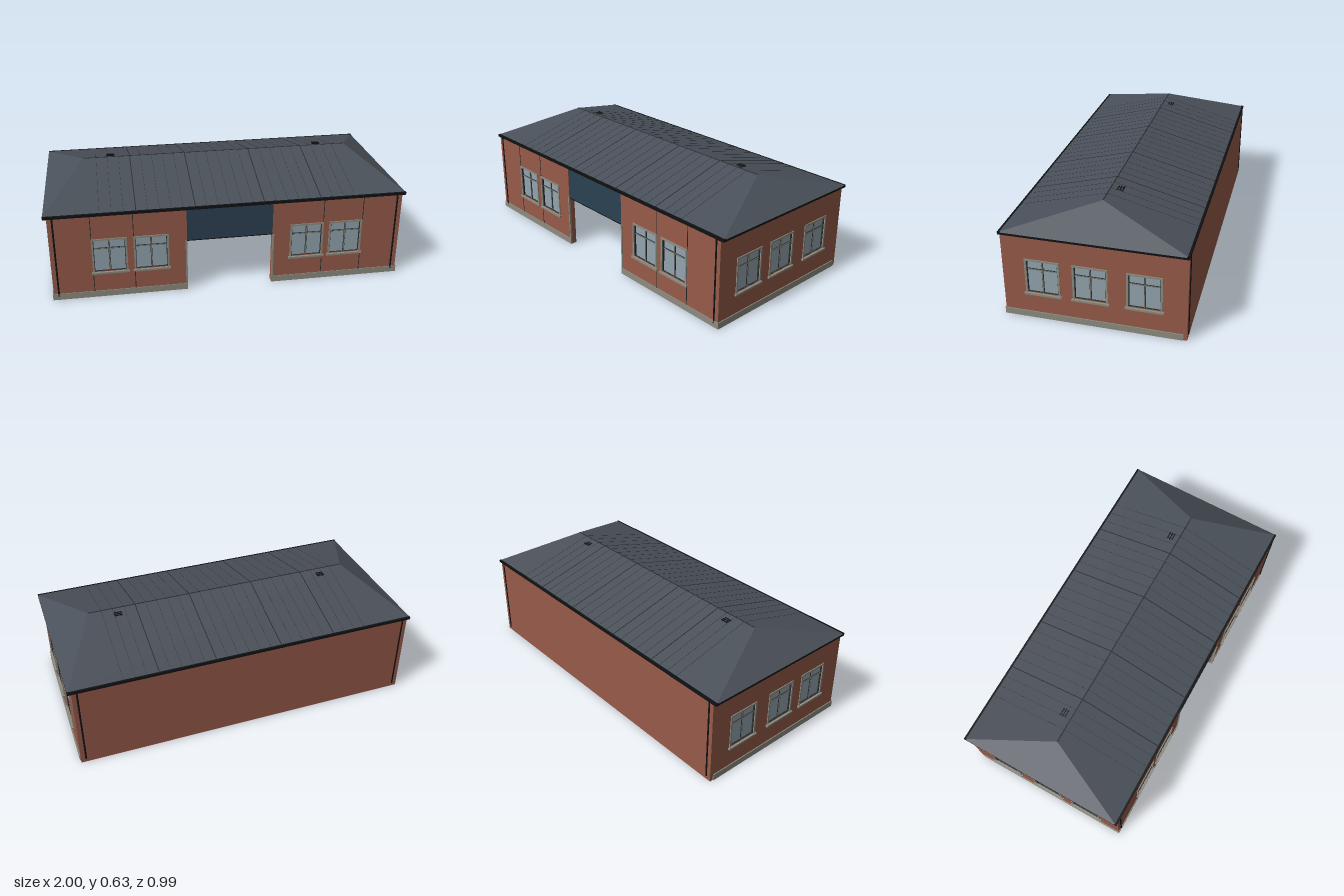
import * as THREE from 'three';

const mat = (name, color, side = THREE.FrontSide) => {
  const m = new THREE.MeshStandardMaterial({ color, side });
  m.name = name;
  return m;
};

export function createModel() {
  const M = {
    brick: mat('brick', 0x965a4a),
    stone: mat('stone', 0x8e8c80),
    roof: mat('slate roof', 0x4a5059),
    black: mat('black metal', 0x101113),
    seam: mat('dark seam', 0x2a2d31),
    blue: mat('blue panel', 0x2b4152),
    glass: mat('glass', 0x93a5ae),
    bar: mat('window bars', 0x77766f),
  };
  const model = new THREE.Group();
  model.name = 'building';

  const box = (parent, name, m, w, h, d, x, y, z) => {
    const mesh = new THREE.Mesh(new THREE.BoxGeometry(w, h, d), m);
    mesh.name = name;
    mesh.position.set(x, y, z);
    parent.add(mesh);
    return mesh;
  };

  const WX = 0.98, WZ = 0.484, WALL_H = 0.492, T = 0.035;
  const WIN = { bottom: 0.155, top: 0.356 };

  // Wall from an outline with window holes; its outer face lies on local z = 0
  const wall = (parent, name, outline, centres, w) => {
    const shape = new THREE.Shape(outline.map(([x, y]) => new THREE.Vector2(x, y)));
    for (const c of centres) {
      const hw = w / 2 - 0.006;
      const [b, t] = [WIN.bottom + 0.004, WIN.top - 0.006];
      shape.holes.push(new THREE.Path([
        new THREE.Vector2(c - hw, b), new THREE.Vector2(c - hw, t),
        new THREE.Vector2(c + hw, t), new THREE.Vector2(c + hw, b),
      ]));
    }
    const geo = new THREE.ExtrudeGeometry(shape, { depth: T, bevelEnabled: false });
    geo.translate(0, 0, -T);
    const mesh = new THREE.Mesh(geo, M.brick);
    mesh.name = name;
    parent.add(mesh);
  };

  // Window with casing, dark sash line, glass, bars and sill
  const addWindow = (parent, cx, w) => {
    const g = new THREE.Group();
    g.name = 'window';
    g.position.x = cx;
    parent.add(g);
    const { bottom, top } = WIN, h = top - bottom, cy = (top + bottom) / 2, c = 0.01;
    box(g, 'casingTop', M.stone, w, c, 0.018, 0, top - c / 2, -0.004);
    for (const s of [-1, 1]) {
      box(g, 'casingSide', M.stone, c, h - c, 0.018, s * (w - c) / 2, cy - c / 2, -0.004);
      box(g, 'sashSide', M.seam, 0.003, h - c, 0.012, s * (w / 2 - c - 0.0015), cy - c / 2, -0.007);
    }
    box(g, 'sashTop', M.seam, w - 2 * c, 0.003, 0.012, 0, top - c - 0.0015, -0.007);
    box(g, 'sashBottom', M.seam, w - 2 * c, 0.003, 0.012, 0, bottom + 0.003, -0.007);
    box(g, 'glass', M.glass, w - 2 * c, h - c, 0.004, 0, cy - c / 2, -0.012);
    const barY = 0.294;
    box(g, 'mullionEdge', M.seam, 0.009, h - c, 0.01, 0, cy - c / 2, -0.011);
    box(g, 'transomEdge', M.seam, w - 2 * c, 0.008, 0.01, 0, barY, -0.011);
    box(g, 'mullion', M.bar, 0.005, h - c, 0.012, 0, cy - c / 2, -0.009);
    box(g, 'transom', M.bar, w - 2 * c, 0.004, 0.012, 0, barY, -0.009);
    box(g, 'sill', M.stone, w + 0.014, 0.011, 0.024, 0, bottom - 0.0055, 0);
  };

  // Front wall with the wide gateway cut out of it
  const front = new THREE.Group();
  front.name = 'front';
  front.position.z = WZ;
  model.add(front);
  const D = 0.24;
  const frontX = [-0.663, -0.436, 0.436, 0.66];
  for (const s of [-1, 1]) {
    const outline = [[s * D, 0.001], [s * WX, 0.001], [s * WX, WALL_H], [s * D, WALL_H]];
    wall(front, 'frontWall', outline, frontX.filter((x) => x * s > 0), 0.192);
    box(front, 'frontPlinth', M.stone, 0.985 - D, 0.036, 0.006, s * (0.985 + D) / 2, 0.018, 0.001);
    box(front, 'frontPlinthBase', M.stone, 0.98 - D, 0.004, T, s * (0.98 + D) / 2, 0.002, -T / 2);
    box(front, 'gatewayTrim', M.stone, 0.009, 0.305, 0.012, s * (D + 0.004), 0.1525, -0.002);
    for (const x of [0.53, 0.757]) {
      box(front, 'jointAbove', M.seam, 0.004, WALL_H - WIN.top, 0.002, s * x, (WALL_H + WIN.top) / 2, 0.0005);
      box(front, 'jointBelow', M.seam, 0.004, 0.108, 0.002, s * x, 0.09, 0.0005);
    }
  }
  frontX.forEach((x) => addWindow(front, x, 0.192));
  box(front, 'gatewayPanel', M.blue, 2 * D, WALL_H - 0.305, 0.02, 0, (WALL_H + 0.305) / 2, -0.014);
  box(front, 'gatewayPanelEdge', M.black, 2 * D, 0.005, 0.022, 0, 0.304, -0.014);

  // Side walls, mirrored
  for (const s of [-1, 1]) {
    const side = new THREE.Group();
    side.name = s > 0 ? 'leftSide' : 'rightSide';
    side.position.x = s * WX;
    side.rotation.y = s * Math.PI / 2;
    model.add(side);
    const a = -s * (WZ - T), b = s * 0.465;
    const centres = [0.27, 0.017, -0.264].map((z) => -s * z);
    wall(side, 'sideWall', [[a, 0.001], [b, 0.001], [b, WALL_H], [a, WALL_H]], centres, 0.186);
    centres.forEach((u) => addWindow(side, u, 0.186));
    box(side, 'sidePlinth', M.stone, 0.952, 0.036, 0.006, -s * 0.011, 0.018, 0.002);
    box(side, 'sidePlinthBase', M.stone, 0.914, 0.004, T, s * 0.008, 0.002, -T / 2);
  }

  // Plain back wall
  box(model, 'backWall', M.brick, 2 * WX, WALL_H, 0.02, 0, WALL_H / 2, -WZ + 0.01);

  // Downpipes at the four corners
  for (const sx of [-1, 1]) for (const sz of [-1, 1]) {
    const pipe = new THREE.Mesh(new THREE.CylinderGeometry(0.005, 0.005, 0.47, 10), M.black);
    pipe.name = 'downpipe';
    pipe.position.set(sx * 0.952, 0.257, sz * WZ);
    model.add(pipe);
  }

  // Eaves slab and gutters
  const EX = 1, EZ = 0.487, EY = 0.503, RX = 0.78, RY = 0.633;
  box(model, 'eaves', M.black, 2 * EX, 0.011, 2 * EZ, 0, EY - 0.0065, 0);
  for (const s of [-1, 1]) box(model, 'gutter', M.black, 2 * EX, 0.014, 0.015, 0, EY - 0.004, s * (EZ - 0.0075));

  // Hipped roof
  const A = [-EX, EY, EZ], B = [EX, EY, EZ], C = [EX, EY, -EZ], E = [-EX, EY, -EZ];
  const R0 = [-RX, RY, 0], R1 = [RX, RY, 0];
  const roofGeo = new THREE.BufferGeometry();
  roofGeo.setAttribute('position', new THREE.Float32BufferAttribute(
    [A, B, R1, A, R1, R0, C, E, R0, C, R0, R1, B, C, R1, E, A, R0].flat(), 3));
  roofGeo.computeVertexNormals();
  const roof = new THREE.Mesh(roofGeo, M.roof);
  roof.name = 'roof';
  model.add(roof);

  // Roof seams on both slopes, four of them stronger
  const angle = Math.atan2(RY - EY, EZ), len = Math.hypot(RY - EY, EZ);
  const seam = (x, w, m) => {
    for (const s of [-1, 1]) {
      const rib = box(model, 'roofSeam', m, w, 0.002, len, x, (EY + RY) / 2, s * EZ / 2);
      rib.rotation.x = s * angle;
    }
  };
  for (const x of [-0.51, -0.19, 0.19, 0.51]) seam(x, 0.005, M.seam);
  for (let i = -11; i <= 11; i++) seam(i * 0.064, 0.0012, M.seam);
  box(model, 'ridge', M.seam, 2 * RX, 0.003, 0.006, 0, RY - 0.0005, 0);

  // Slatted roof vents just behind the ridge
  for (const s of [-1, 1]) {
    for (let i = 0; i < 4; i++) {
      box(model, 'ventSlat', M.black, 0.048 - 0.004 * (i % 2), 0.004, 0.005, s * 0.62, 0.625, -0.02 - i * 0.0145);
    }
    for (const e of [-1, 1]) box(model, 'ventRail', M.seam, 0.003, 0.008, 0.05, s * 0.62 + e * 0.015, 0.62, -0.04);
  }
  return model;
}
